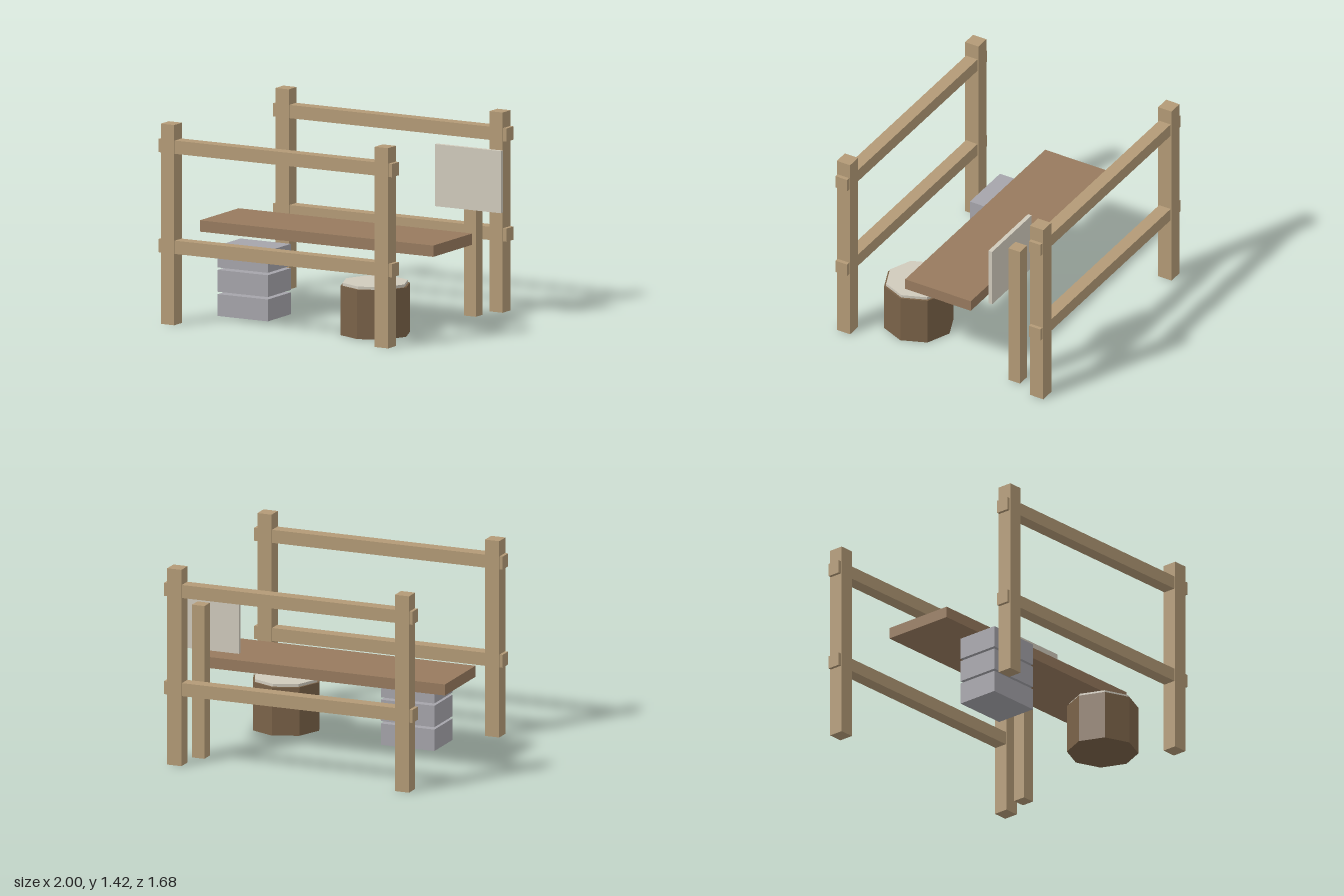
import * as THREE from 'three';

const material = (color) => new THREE.MeshStandardMaterial({ color, flatShading: true });

export function createModel() {
  const model = new THREE.Group();
  const wood = material(0xb39a76);
  const darkWood = material(0x977a5e);
  const bark = material(0x7a6248);
  const pale = material(0xd0cabc);
  const stone = material(0xa5a4aa);

  const add = (name, geometry, mat, x, y, z) => {
    const mesh = new THREE.Mesh(geometry, mat);
    mesh.name = name;
    mesh.position.set(x, y, z);
    model.add(mesh);
  };
  const box = (name, mat, [w, h, d], [x, y, z]) =>
    add(name, new THREE.BoxGeometry(w, h, d), mat, x, y, z);

  // Front and back frames: two posts and two through rails each
  for (const side of [1, -1]) {
    const frame = side > 0 ? 'front' : 'back';
    for (const x of [-0.923, 0.808]) box(`${frame}Post`, wood, [0.108, 1.42, 0.108], [x, 0.71, side * 0.786]);
    for (const y of [0.552, 1.262]) box(`${frame}Rail`, wood, [1.89, 0.094, 0.094], [-0.055, y, side * 0.786]);
  }

  // Counter board between the frames
  box('counter', darkWood, [1.89, 0.08, 0.534], [-0.055, 0.6, 0]);

  // Sign on its own post
  box('signPost', wood, [0.094, 1.105, 0.094], [0.731, 0.5525, -0.553]);
  box('signBoard', pale, [0.535, 0.44, 0.03], [0.731, 0.98, -0.491]);

  // Stack of three blocks
  for (let i = 0; i < 3; i++) box('stackedBlock', stone, [0.406, 0.155, 0.315], [-0.53, 0.098 + i * 0.172, 0.317]);

  // Eight-sided barrel with a pale lid
  add('barrel', new THREE.CylinderGeometry(0.25, 0.25, 0.35, 8), bark, 0.495, 0.175, 0.394);
  add('barrelLid', new THREE.CylinderGeometry(0.235, 0.235, 0.03, 8), pale, 0.495, 0.355, 0.394);

  return model;
}
